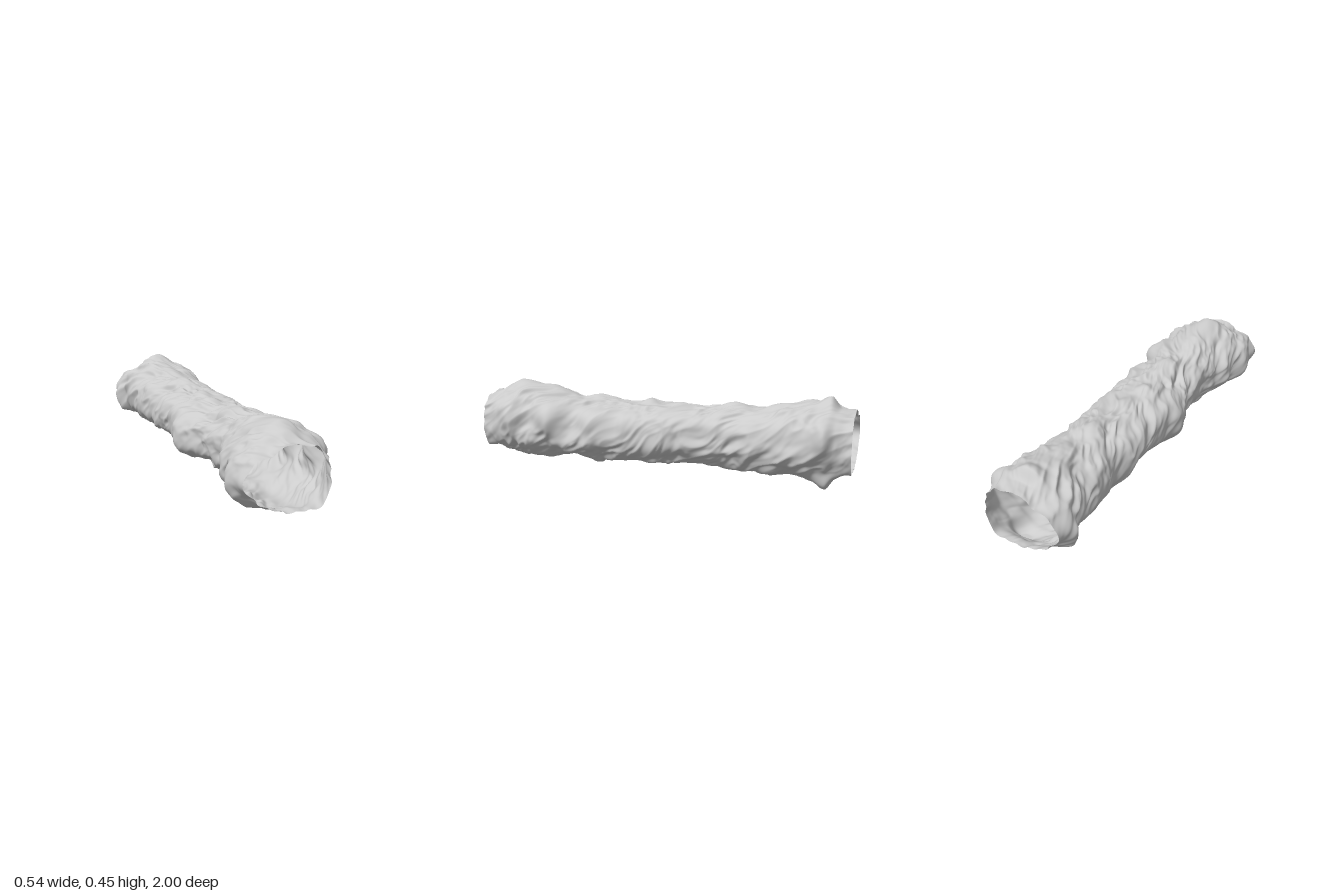
import * as THREE from 'three';

const AROUND = 180, ALONG = 260, CENTRE_Y = 0.23;

// Reach of the wall from the centre line, as [z, distance] pairs
const LEFT_SIDE = [[-1, 0.165], [-0.92, 0.2], [-0.87, 0.235], [-0.8, 0.2], [-0.6, 0.19], [-0.5, 0.2], [-0.4, 0.185],
  [-0.2, 0.19], [0, 0.2], [0.15, 0.225], [0.2, 0.21], [0.34, 0.24], [0.45, 0.2], [0.57, 0.278], [0.7, 0.21],
  [0.8, 0.255], [0.9, 0.2], [1, 0.165]];
const RIGHT_SIDE = [[-1, 0.25], [-0.9, 0.28], [-0.85, 0.22], [-0.6, 0.21], [-0.5, 0.19], [-0.4, 0.2], [-0.1, 0.19],
  [0, 0.2], [0.1, 0.235], [0.2, 0.2], [0.3, 0.16], [0.5, 0.14], [0.6, 0.17], [0.7, 0.22], [0.76, 0.2],
  [0.85, 0.26], [0.92, 0.24], [1, 0.25]];
const ROOF = [[-1, 0.155], [-0.93, 0.17], [-0.88, 0.225], [-0.8, 0.19], [-0.7, 0.17], [-0.6, 0.165], [-0.5, 0.14],
  [-0.4, 0.165], [-0.2, 0.13], [-0.1, 0.155], [0, 0.135], [0.07, 0.155], [0.15, 0.13], [0.35, 0.165],
  [0.45, 0.145], [0.65, 0.195], [0.84, 0.225], [0.9, 0.2], [1, 0.155]];
const FLOOR = [[-1, 0.14], [-0.92, 0.19], [-0.87, 0.235], [-0.8, 0.2], [-0.7, 0.18], [-0.6, 0.195], [-0.4, 0.175],
  [-0.2, 0.165], [0, 0.18], [0.1, 0.17], [0.3, 0.18], [0.34, 0.205], [0.4, 0.19], [0.5, 0.17], [0.65, 0.2],
  [0.8, 0.195], [0.9, 0.18], [1, 0.14]];
// Direction in radians in which the lumps of each side stand out
const LUMPS = [[LEFT_SIDE, 0.17], [ROOF, 1.6], [RIGHT_SIDE, 3.35], [FLOOR, 5]];
// Around the section in 16 steps: lengthwise ridges, and radii of the mouth at both ends
const RIDGES = [0, 0.01, 0, -0.006, 0, -0.006, -0.015, 0, 0, 0.01, 0, -0.006, 0, 0.01, 0.004, 0.01];
const MOUTH = [0.165, 0.172, 0.17, 0.152, 0.152, 0.155, 0.15, 0.21, 0.245, 0.195, 0.165, 0.15, 0.142, 0.155, 0.18, 0.17];

const smooth = t => t * t * (3 - 2 * t);

function sample(table, z) {
  let i = 0;
  while (i < table.length - 2 && z > table[i + 1][0]) i++;
  const [z0, v0] = table[i], [z1, v1] = table[i + 1];
  return v0 + (v1 - v0) * smooth(THREE.MathUtils.clamp((z - z0) / (z1 - z0), 0, 1));
}

// Broad reach, without the local lumps
function broad(table, z) {
  let sum = 0;
  for (let k = -3; k <= 3; k++) sum += sample(table, z + k * 0.05);
  return sum / 7;
}

function ring(table, theta) {
  const k = theta / (Math.PI * 2) * 16, i = Math.floor(k) % 16;
  return THREE.MathUtils.lerp(table[i], table[(i + 1) % 16], smooth(k - Math.floor(k)));
}

function hash(a, b, seed) {
  let h = Math.imul(a + 11, 374761393) ^ Math.imul(b + 7, 668265263) ^ Math.imul(seed, 974634777);
  h = Math.imul(h ^ (h >>> 13), 1274126177);
  return ((h ^ (h >>> 16)) >>> 0) / 4294967296 * 2 - 1;
}

// Smooth noise that repeats in both directions; u and v run 0..1
function noise(u, v, nu, nv, seed) {
  const x = (((u % 1) + 1) % 1) * nu, y = (((v % 1) + 1) % 1) * nv;
  const i = Math.floor(x), j = Math.floor(y), fx = smooth(x - i), fy = smooth(y - j);
  const at = (a, b) => hash(a % nu, b % nv, seed);
  const low = at(i, j) + (at(i + 1, j) - at(i, j)) * fx;
  const high = at(i, j + 1) + (at(i + 1, j + 1) - at(i, j + 1)) * fx;
  return low + (high - low) * fy;
}

// Rock relief: broad lumps, slanting lengthwise creases and small chips
function relief(u, v) {
  const wu = u + v + 0.03 * noise(u, v, 8, 14, 1), wv = v + 0.03 * noise(u, v, 9, 12, 2);
  const crease = 0.35 - Math.abs(noise(wu, wv, 15, 14, 4));
  const fineCrease = 0.35 - Math.abs(noise(wu, wv, 26, 24, 7));
  return 0.016 * noise(wu, wv, 9, 13, 3) + 0.024 * crease + 0.012 * fineCrease
    + 0.008 * noise(wu, wv, 30, 34, 5) + 0.003 * noise(wu, wv, 52, 70, 6);
}

function wallRadius(theta, z) {
  const c = Math.cos(theta), s = Math.sin(theta);
  const halfWidth = broad(c > 0 ? LEFT_SIDE : RIGHT_SIDE, z);
  const halfHeight = broad(s > 0 ? ROOF : FLOOR, z);
  let body = 1 / Math.hypot(c / halfWidth, s / halfHeight) + ring(RIDGES, theta) - 0.004;
  // Local lumps; the relief is calmer where they stand out
  let calm = 1;
  for (const [table, direction] of LUMPS) {
    const away = Math.acos(THREE.MathUtils.clamp(Math.cos(theta - direction), -1, 1));
    const weight = Math.exp(-((away / 0.42) ** 2));
    body += (sample(table, z) - broad(table, z)) * weight;
    calm -= 0.55 * weight;
  }
  // Blend into the mouth outline towards each end
  const mouthBlend = THREE.MathUtils.smoothstep(Math.abs(z), 0.88, 1);
  const rock = relief(theta / (Math.PI * 2), (z + 1) / 2) * calm * (1 - 0.35 * mouthBlend);
  return THREE.MathUtils.lerp(body, ring(MOUTH, theta), mouthBlend) + rock;
}

function tunnelGeometry() {
  const points = [], faces = [];
  for (let j = 0; j <= ALONG; j++) {
    const z = -1 + 2 * j / ALONG;
    for (let i = 0; i < AROUND; i++) {
      const theta = i / AROUND * Math.PI * 2, r = wallRadius(theta, z);
      points.push(r * Math.cos(theta), Math.max(0, CENTRE_Y + r * Math.sin(theta)), z);
      if (j < ALONG) {
        const a = j * AROUND + i, b = j * AROUND + (i + 1) % AROUND;
        faces.push(a, b, a + AROUND, b, b + AROUND, a + AROUND);
      }
    }
  }
  const geometry = new THREE.BufferGeometry();
  geometry.setAttribute('position', new THREE.Float32BufferAttribute(points, 3));
  geometry.setIndex(faces);
  geometry.computeVertexNormals();
  return geometry;
}

export function createModel() {
  const group = new THREE.Group();
  group.name = 'caveTunnel';
  // Thin open wall, seen from inside and outside
  const rock = new THREE.MeshStandardMaterial({ color: 0xcccccc, roughness: 0.9, side: THREE.DoubleSide });
  const wall = new THREE.Mesh(tunnelGeometry(), rock);
  wall.name = 'rockWall';
  group.add(wall);
  return group;
}
